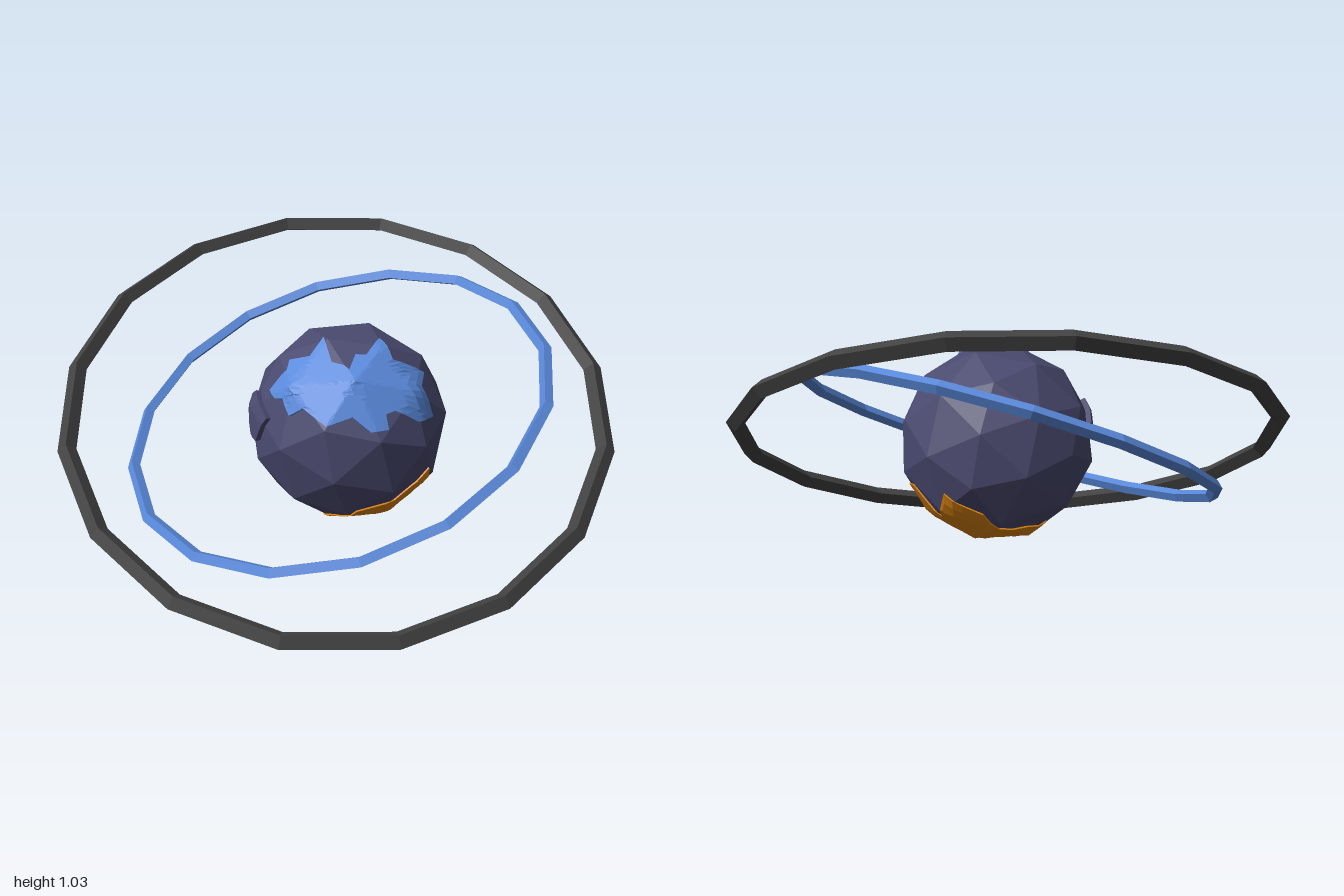
import * as THREE from 'three';

const material = (name, color, side = THREE.FrontSide) => {
  const m = new THREE.MeshStandardMaterial({ color, flatShading: true, side });
  m.name = name;
  return m;
};

const RADIUS = 0.375;

// Faceted globe
function globeGeometry() {
  const g = new THREE.IcosahedronGeometry(RADIUS, 1);
  g.rotateX(-Math.atan(2 / (1 + Math.sqrt(5))));
  return g;
}

// Returns a function giving the globe's surface distance along a direction
function surfaceSampler(geometry) {
  const p = geometry.attributes.position;
  const planes = [];
  for (let i = 0; i < p.count; i += 3) {
    const [a, b, c] = [0, 1, 2].map(k => new THREE.Vector3().fromBufferAttribute(p, i + k));
    planes.push(new THREE.Plane().setFromCoplanarPoints(a, b, c));
  }
  return dir => {
    let r = Infinity;
    for (const pl of planes) {
      const d = pl.normal.dot(dir);
      if (d > 1e-4) r = Math.min(r, -pl.constant / d);
    }
    return r;
  };
}

// Raised land plate: fan of rings from a centre out to a jagged outline, with a rim
function landGeometry(sample, centre, outline, lift) {
  const c = new THREE.Vector3(...centre).normalize();
  const corners = outline.map(o => new THREE.Vector3(...o).normalize());
  const edge = [];
  const perSide = 4, rings = 8;
  corners.forEach((a, i) => {
    const b = corners[(i + 1) % corners.length];
    for (let k = 0; k < perSide; k++) edge.push(a.clone().lerp(b, k / perSide).normalize());
  });
  const pos = [], index = [], n = edge.length;
  for (let j = 0; j <= rings + 1; j++) {
    const t = Math.min(j / rings, 1);
    const h = j > rings ? -0.01 : lift;
    for (const e of edge) {
      const d = c.clone().lerp(e, t).normalize();
      d.multiplyScalar(sample(d) + h);
      pos.push(d.x, d.y, d.z);
    }
  }
  for (let j = 0; j <= rings; j++) {
    for (let i = 0; i < n; i++) {
      const k = (i + 1) % n;
      const a = j * n + i, b = j * n + k, d = a + n, e = b + n;
      if (j > 0) index.push(a, e, b);
      index.push(a, d, e);
    }
  }
  const g = new THREE.BufferGeometry();
  g.setAttribute('position', new THREE.Float32BufferAttribute(pos, 3));
  g.setIndex(index);
  g.computeVertexNormals();
  return g;
}

// Tilted sixteen-sided hoop
function hoop(name, radius, tube, normal, spin, mat) {
  const g = new THREE.TorusGeometry(radius, tube, 4, 16);
  g.rotateX(-Math.PI / 2);
  g.rotateY(spin);
  const m = new THREE.Mesh(g, mat);
  m.name = name;
  m.position.y = 0.53;
  m.quaternion.setFromUnitVectors(new THREE.Vector3(0, 1, 0), new THREE.Vector3(...normal).normalize());
  return m;
}

export function createModel() {
  const model = new THREE.Group();
  model.name = 'ringedPlanet';

  const violet = material('dusk violet', 0x4a4a70, THREE.DoubleSide);
  const blue = material('sky blue', 0x5a8adc, THREE.DoubleSide);
  const orange = material('amber', 0xde850f, THREE.DoubleSide);
  const charcoal = material('charcoal', 0x424242);

  // Planet with its land plates
  const planet = new THREE.Group();
  planet.name = 'planet';
  planet.position.set(0, 0.5, 0.06);
  const globe = globeGeometry();
  const sample = surfaceSampler(globe);
  const add = (name, geometry, mat) => {
    const m = new THREE.Mesh(geometry, mat);
    m.name = name;
    planet.add(m);
  };
  add('globe', globe, violet);

  add('upperLand', landGeometry(sample, [-0.23, 0.22, 0.17], [
    [-0.30, 0.18, -0.12], [-0.26, 0.26, -0.07], [-0.22, 0.28, -0.09], [-0.20, 0.31, -0.01],
    [-0.12, 0.35, -0.01], [-0.19, 0.31, 0.06], [-0.17, 0.30, 0.13], [-0.17, 0.27, 0.18],
    [-0.10, 0.29, 0.20], [-0.11, 0.33, 0.13], [-0.05, 0.31, 0.19], [0.02, 0.35, 0.13],
    [-0.01, 0.30, 0.22], [0.12, 0.23, 0.27], [0.05, 0.20, 0.30], [0.07, 0.09, 0.35],
    [-0.02, 0.10, 0.36], [-0.09, 0.16, 0.32], [-0.14, 0.15, 0.30], [-0.15, 0.10, 0.32],
    [-0.21, 0.10, 0.29], [-0.24, 0.15, 0.23], [-0.31, 0.12, 0.17], [-0.33, 0.17, 0.07],
    [-0.345, 0.13, 0.02], [-0.33, 0.18, -0.03], [-0.31, 0.16, -0.07],
  ], 0.014), blue);

  add('lowerLand', landGeometry(sample, [0.06, -0.36, 0.06], [
    [0.34, -0.145, -0.04], [0.26, -0.26, 0.04], [0.30, -0.14, 0.15], [0.25, -0.15, 0.23],
    [0.09, -0.17, 0.315], [0.07, -0.12, 0.34], [0, -0.18, 0.32], [-0.05, -0.24, 0.28],
    [-0.18, -0.25, 0.20], [-0.17, -0.32, 0.08], [-0.13, -0.34, 0], [-0.045, -0.29, -0.22],
    [0.06, -0.29, -0.21], [0.166, -0.286, -0.166], [0.25, -0.22, -0.16],
  ], 0.006), orange);

  add('rearLand', landGeometry(sample, [-0.29, 0.07, -0.21], [
    [-0.28, 0.15, -0.19], [-0.35, 0.09, -0.09], [-0.33, -0.02, -0.15],
    [-0.28, 0, -0.24], [-0.22, 0.08, -0.29],
  ], 0.02), violet);
  model.add(planet);

  // Rings
  model.add(hoop('innerRing', 0.815, 0.025, [-0.45, 1, 0], 0, blue));
  model.add(hoop('outerRing', 1.018, 0.035, [-0.40, 1, 0.38], 0.154, charcoal));
  return model;
}
